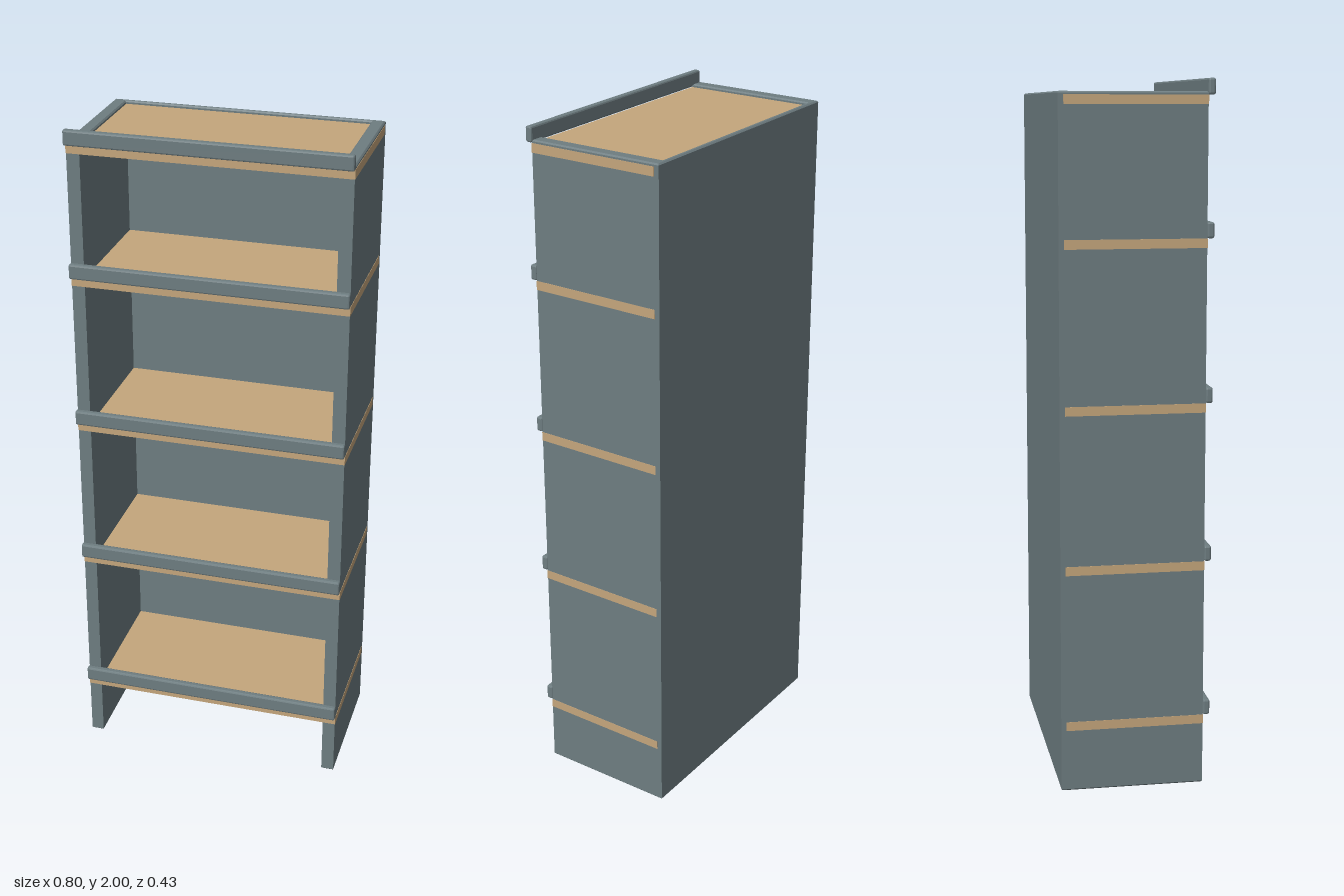
import * as THREE from 'three';
import { RoundedBoxGeometry } from 'three/addons/geometries/RoundedBoxGeometry.js';

export function createModel() {
  const group = new THREE.Group();
  const grey = new THREE.MeshStandardMaterial({ color: 0x6e7d81 });
  grey.name = 'slate grey paint';
  const tan = new THREE.MeshStandardMaterial({ color: 0xc5a67c });
  tan.name = 'tan wood';

  const add = (name, geometry, material, x, y, z) => {
    const mesh = new THREE.Mesh(geometry, material);
    mesh.name = name;
    mesh.position.set(x, y, z);
    group.add(mesh);
  };

  const halfWidth = 0.398, inner = 0.36, back = -0.215, front = 0.195;
  const caseHeight = 1.965, bevel = 0.004;

  // Case: U-shaped footprint (two sides and the back) raised to full height
  const footprint = new THREE.Shape([
    [-halfWidth, -front], [-inner, -front], [-inner, 0.2], [inner, 0.2],
    [inner, -front], [halfWidth, -front], [halfWidth, -back], [-halfWidth, -back],
  ].map(([x, y]) => new THREE.Vector2(x, y)));
  const caseGeometry = new THREE.ExtrudeGeometry(footprint, {
    depth: caseHeight - 2 * bevel, bevelEnabled: true, bevelSegments: 1,
    bevelSize: bevel, bevelThickness: bevel, bevelOffset: -bevel,
  });
  caseGeometry.rotateX(-Math.PI / 2);
  add('sidesAndBack', caseGeometry, grey, 0, bevel, 0);

  // Through shelves, each with a lip rail along its front edge
  const shelfTops = [0.205, 0.66, 1.113, 1.57, 1.956];
  const shelfThickness = 0.026, shelfBack = -0.2, shelfFront = 0.196;
  const railHeight = 0.044, railDepth = 0.02;
  shelfTops.forEach((top, i) => {
    const shelf = new THREE.BoxGeometry(2 * halfWidth + 0.002, shelfThickness, shelfFront - shelfBack);
    add(`shelf${i + 1}`, shelf, tan, 0, top - shelfThickness / 2, (shelfFront + shelfBack) / 2);

    const rail = new RoundedBoxGeometry(0.8, railHeight, railDepth, 1, 0.005);
    rail.computeVertexNormals();
    add(`frontRail${i + 1}`, rail, grey, 0, top + railHeight / 2, front + railDepth / 2);
  });

  return group;
}
